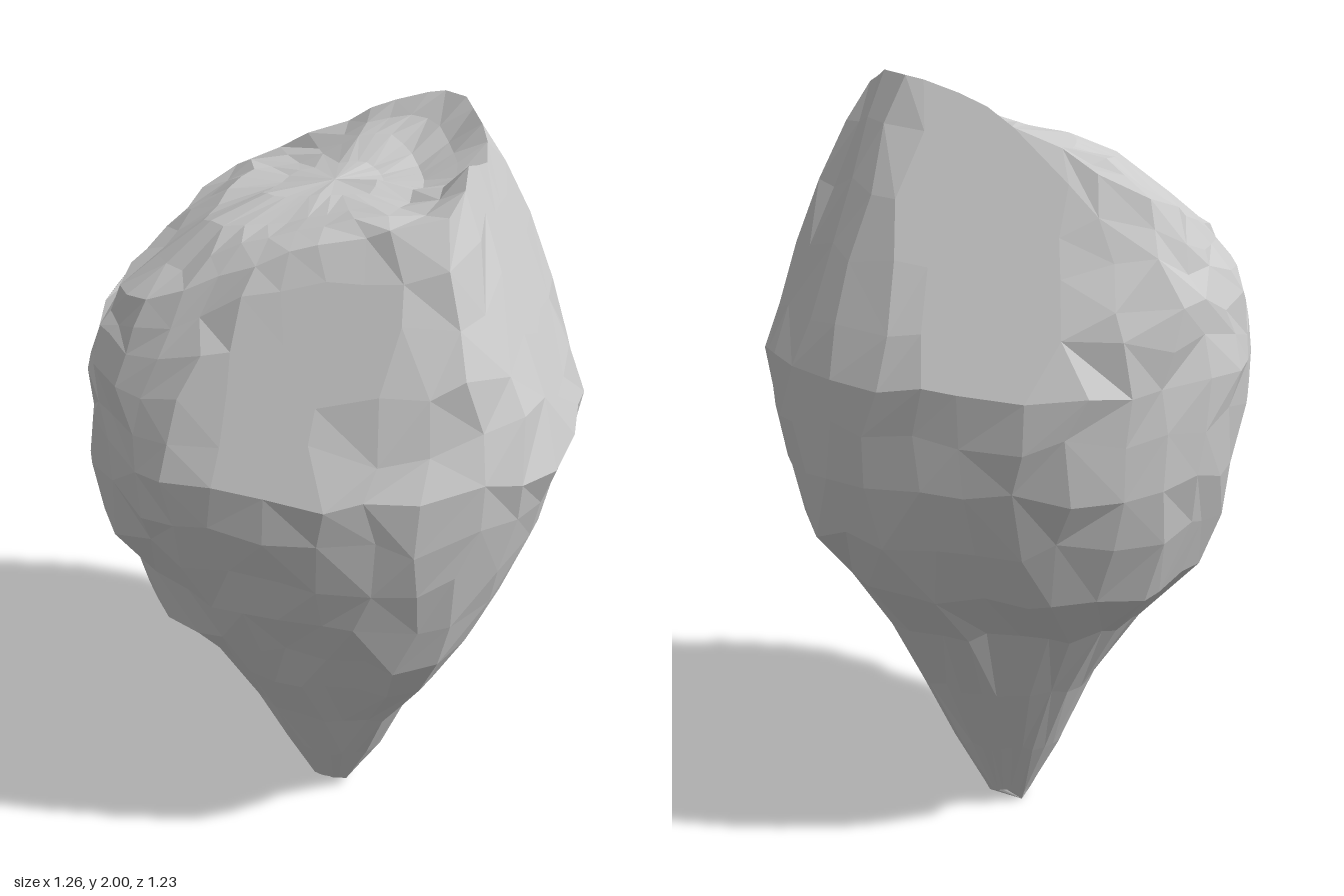
import * as THREE from 'three';

const COLS = 32;
const RIM_RING = 14;

// Sixteen readings around the axis, every 22.5 degrees from +x towards +z
const BELLY_R = [.63, .66, .645, .635, .615, .645, .635, .615, .63, .645, .635, .65, .61, .63, .645, .64];
const RIM_R = [.36, .38, .49, .42, .39, .42, .50, .53, .50, .50, .55, .42, .37, .38, .36, .35];
const RIM_Y = [1.92, 1.96, 1.91, 1.86, 1.82, 1.74, 1.65, 1.60, 1.62, 1.66, 1.72, 1.83, 1.92, 1.98, 2, 1.97];

// Lower taper: height, then eight radii, every 45 degrees from +x towards +z
const TAPER = [
  [.03, [.05, .07, .06, .07, .06, .07, .05, .07]],
  [.20, [.15, .17, .15, .16, .15, .16, .13, .16]],
  [.40, [.23, .28, .25, .25, .23, .26, .23, .26]],
  [.60, [.32, .42, .37, .37, .36, .38, .33, .38]],
  [.75, [.39, .52, .43, .49, .51, .53, .46, .51]],
  [.90, [.47, .57, .51, .55, .56, .60, .54, .60]],
  [1.05, [.55, .61, .56, .61, .60, .63, .59, .63]],
  [1.18, [.60, .64, .60, .63, .62, .64, .61, .64]],
];

// Chips and grooves: centre, half extents, depth
const DENTS = [
  [-.30, .85, .45, .22, .09, .2, .04],
  [.50, 1.40, -.28, .2, .5, .07, .03],
  [.27, 1.30, .50, .06, .3, .2, .025],
  [-.45, 1.35, .35, .07, .3, .2, .02],
  [.10, .50, .28, .06, .25, .15, .02],
];

// Broad cleaved faces as planes: x, y, z slopes and offset
const CLEAVES = [
  [1, .43, 0, 1.192],
  [0, .40, 1, 1.132],
  [0, .42, -1, 1.158],
  [.707, .37, -.707, 1.122],
];

function noise(a, b) {
  const s = Math.sin(a * 127.1 + b * 311.7) * 43758.5453;
  return (s - Math.floor(s)) * 2 - 1;
}

function around(table, u) {
  const k = u * table.length, i = Math.floor(k), n = table.length;
  return THREE.MathUtils.lerp(table[i % n], table[(i + 1) % n], k - i);
}

function rockRings() {
  const rings = [];
  const ring = fn => rings.push(Array.from({ length: COLS }, (_, j) => {
    const u = j / COLS, a = u * Math.PI * 2;
    const [r, y, cx = 0, cz = 0] = fn(u);
    return new THREE.Vector3(cx + r * Math.cos(a), y, cz + r * Math.sin(a));
  }));

  // Pointed foot and taper
  ring(() => [0, 0, -.04, -.04]);
  for (const [y, radii] of TAPER) ring(u => [around(radii, u), y]);

  // Belly up to the slanting rim
  for (const t of [0, .2, .42, .64, .84, 1]) {
    ring(u => [
      THREE.MathUtils.lerp(around(BELLY_R, u), around(RIM_R, u), t) + .12 * t * (1 - t),
      THREE.MathUtils.lerp(1.3, around(RIM_Y, u), t),
    ]);
  }
  // Sloping crown with a shallow valley inside the high side of the rim
  for (const t of [.82, .6, .33, 0]) {
    ring(u => {
      const valley = .055 * Math.cos(u * Math.PI * 2 + .5) * t * (1 - t) * 4;
      return [around(RIM_R, u) * t, THREE.MathUtils.lerp(1.85, around(RIM_Y, u), t) - valley];
    });
  }
  return rings;
}

function weather(rings) {
  rings.forEach((pts, i) => pts.forEach((p, j) => {
    if (i === 0) return;
    // Crown: broad undulation
    if (i > RIM_RING) {
      p.y += .022 * Math.sin(13 * p.x + 9 * p.z) * Math.cos(14 * p.z - 6 * p.x);
      return;
    }
    // Sides: small random shifts, then the chips
    const rad = Math.hypot(p.x, p.z), rough = Math.min(1, rad / .6);
    let push = noise(i, j >> 1) * .012 * rough;
    for (const [x, y, z, sx, sy, sz, depth] of DENTS) {
      const d = ((p.x - x) / sx) ** 2 + ((p.y - y) / sy) ** 2 + ((p.z - z) / sz) ** 2;
      push -= depth * Math.max(0, 1 - d);
    }
    const k = 1 + push / rad;
    const swing = noise(j + 7, i + 3) * .03 * rough / rad;
    p.set(p.x * k - p.z * swing, p.y, p.z * k + p.x * swing);
    if (i < RIM_RING) p.y += noise(i + 31, j + 5) * .026 * rough;

    // Pull anything beyond a cleaved face back onto it
    for (const [nx, ny, nz, d] of CLEAVES) {
      const out = nx * p.x + nz * p.z, limit = d - ny * p.y;
      if (out > limit) {
        p.x *= limit / out;
        p.z *= limit / out;
      }
    }
  }));
}

function rockGeometry() {
  const rings = rockRings();
  weather(rings);
  const tris = [];
  const add = (...pts) => pts.forEach(p => tris.push(p.x, p.y, p.z));
  for (let i = 0; i < rings.length - 1; i++) {
    for (let j = 0; j < COLS; j++) {
      const k = (j + 1) % COLS;
      const a = rings[i][j], b = rings[i][k], c = rings[i + 1][j], d = rings[i + 1][k];
      if (i === 0) add(a, c, d);
      else if (i === rings.length - 2) add(a, c, b);
      else if (noise(i, j + 50) > 0) add(a, c, b, b, c, d);
      else add(a, c, d, a, d, b);
    }
  }
  const geo = new THREE.BufferGeometry();
  geo.setAttribute('position', new THREE.Float32BufferAttribute(tris, 3));
  geo.computeVertexNormals();
  return geo;
}

export function createModel() {
  const group = new THREE.Group();
  group.name = 'rock';
  const material = new THREE.MeshStandardMaterial({ color: 0xcccccc, flatShading: true });
  const boulder = new THREE.Mesh(rockGeometry(), material);
  boulder.name = 'boulder';
  group.add(boulder);
  return group;
}
